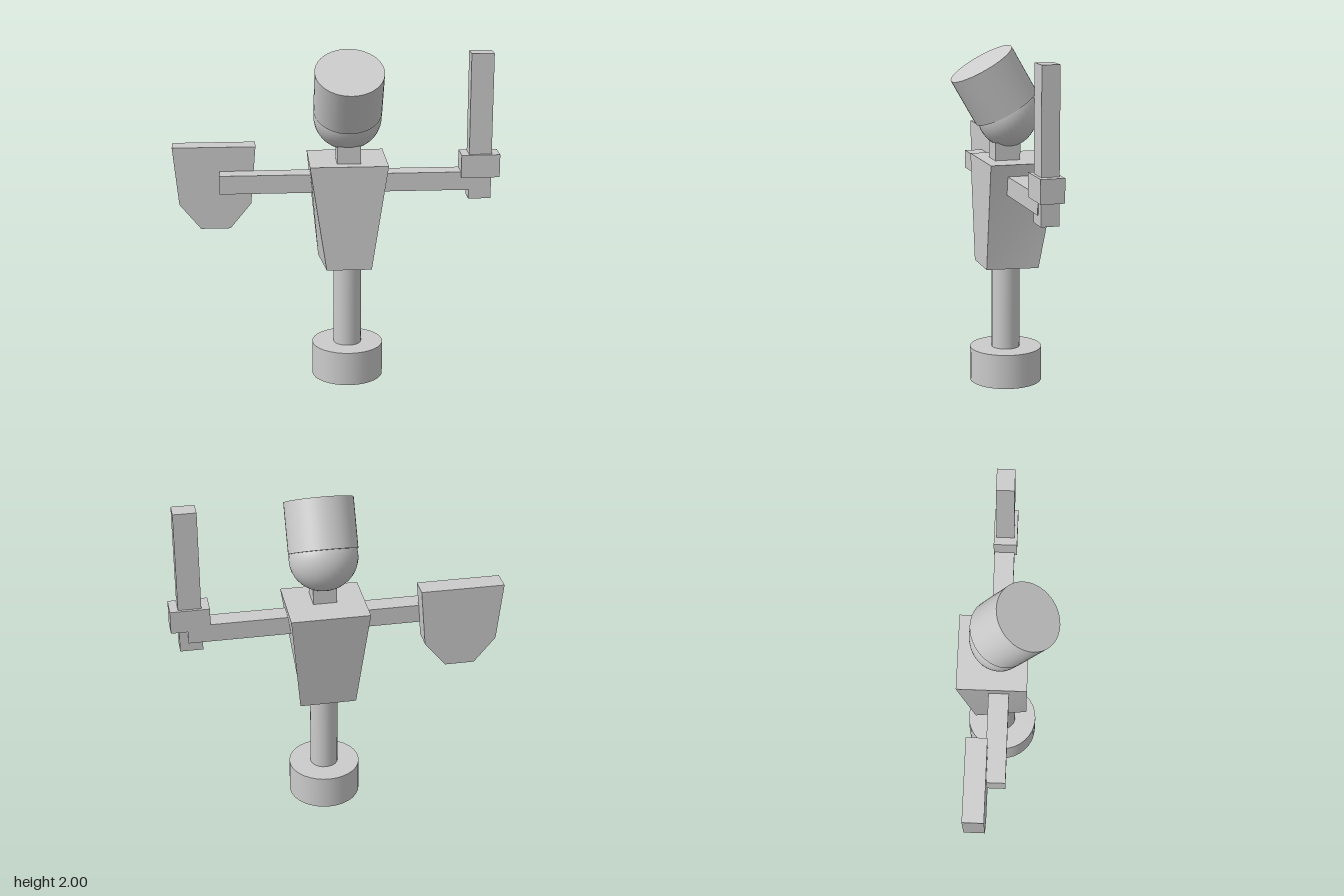
import * as THREE from 'three';

const CX = 0.064; // x of the body's axis
const material = new THREE.MeshStandardMaterial({ color: 0xcccccc });

function add(group, name, geometry, x = 0, y = 0, z = 0) {
  const mesh = new THREE.Mesh(geometry, material);
  mesh.name = name;
  mesh.position.set(x, y, z);
  group.add(mesh);
  return mesh;
}

// Box given by its lowest and highest corners
function addBox(group, name, [x0, y0, z0], [x1, y1, z1]) {
  return add(group, name, new THREE.BoxGeometry(x1 - x0, y1 - y0, z1 - z0),
    (x0 + x1) / 2, (y0 + y1) / 2, (z0 + z1) / 2);
}

// Torso: a box whose lower end narrows, more so at the front
function torsoGeometry() {
  const geometry = new THREE.BoxGeometry(2, 2, 2);
  const p = geometry.attributes.position;
  for (let i = 0; i < p.count; i++) {
    const top = p.getY(i) > 0, front = p.getZ(i) > 0;
    const halfWidth = top ? 0.229 : front ? 0.133 : 0.167;
    const z = front ? 0.12 : top ? -0.285 : -0.185;
    p.setXYZ(i, Math.sign(p.getX(i)) * halfWidth, top ? 1.34 : 0.71, z);
  }
  geometry.computeVertexNormals();
  return geometry;
}

export function createModel() {
  const model = new THREE.Group();
  model.name = 'trainingDummy';

  // Stand
  add(model, 'base', new THREE.CylinderGeometry(0.213, 0.213, 0.205, 32), CX, 0.1025, -0.033);
  add(model, 'post', new THREE.CylinderGeometry(0.083, 0.083, 0.53, 24), CX, 0.455, -0.033);

  // Body
  add(model, 'torso', torsoGeometry(), CX);
  addBox(model, 'neck', [-0.003, 1.33, -0.1], [0.135, 1.444, 0.05]);
  addBox(model, 'arms', [-0.69, 1.16, -0.1], [0.86, 1.27, 0.017]);

  // Head with a bucket tipped forward over it
  const head = add(model, 'head', new THREE.SphereGeometry(1, 32, 24), CX, 1.605, -0.04);
  head.scale.set(0.2, 0.195, 0.175);
  const bucket = add(model, 'bucket', new THREE.CylinderGeometry(0.201, 0.201, 0.295, 40), CX, 1.77, 0.041);
  bucket.rotation.x = Math.PI / 6;

  // Sword held upright in the left hand
  const sword = new THREE.Group();
  sword.name = 'sword';
  addBox(sword, 'bladeAndGrip', [0.777, 1.105, -0.089], [0.91, 1.975, 0.014]);
  addBox(sword, 'guard', [0.73, 1.238, -0.105], [0.958, 1.375, 0.032]);
  model.add(sword);

  // Shield behind the right arm
  const outline = [[-0.965, 1.417], [-0.93, 1.07], [-0.805, 0.918],
    [-0.63, 0.918], [-0.505, 1.07], [-0.475, 1.417]];
  const shape = new THREE.Shape(outline.map(([x, y]) => new THREE.Vector2(x, y)));
  add(model, 'shield', new THREE.ExtrudeGeometry(shape, { depth: 0.122, bevelEnabled: false }), 0, 0, -0.212);

  return model;
}
